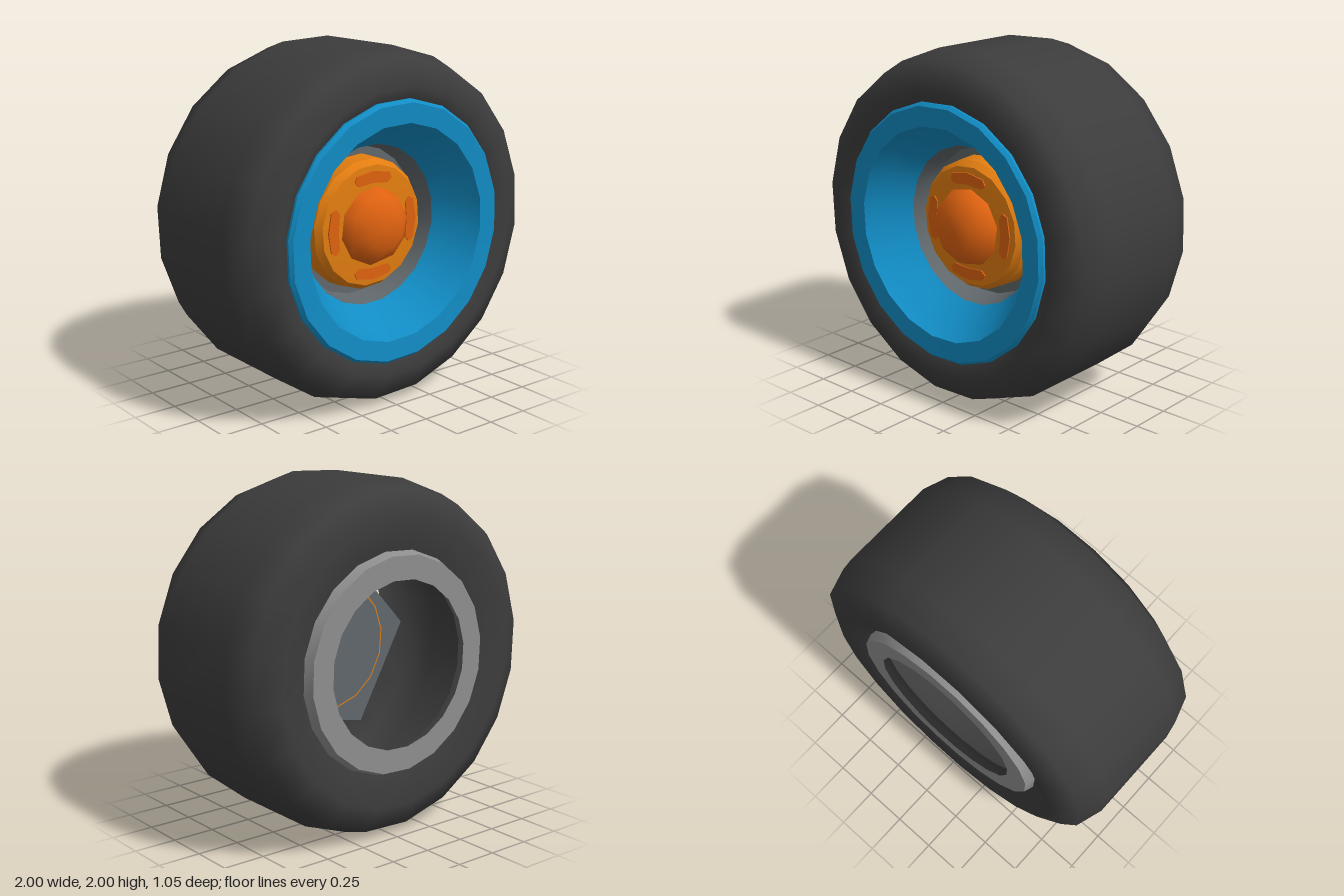
import * as THREE from 'three';
import { toCreasedNormals } from 'three/addons/utils/BufferGeometryUtils.js';

const paint = (name, color, side = THREE.FrontSide) => {
  const m = new THREE.MeshStandardMaterial({ color, side });
  m.name = name;
  return m;
};

export function createModel() {
  const rubber = paint('rubber', 0x3c3c3c, THREE.DoubleSide);
  const blue = paint('rimBlue', 0x118cc4);
  const grey = paint('plateGrey', 0x60676a);
  const steel = paint('ringGrey', 0x8e8e8e);
  const orange = paint('drumOrange', 0xe27d10);
  const darkOrange = paint('hubOrange', 0xdf6210);

  const model = new THREE.Group();
  const wheel = new THREE.Group();
  wheel.name = 'wheel';
  wheel.position.y = 1;
  model.add(wheel);

  const add = (name, geometry, material) => {
    const mesh = new THREE.Mesh(geometry, material);
    mesh.name = name;
    wheel.add(mesh);
    return mesh;
  };

  // Turns a [radius, z] profile about the axle, slightly rotated like the whole wheel
  const turned = (name, profile, sides, material, crease = 0.5) => {
    let g = new THREE.LatheGeometry(profile.map(([r, z]) => new THREE.Vector2(r, z)), sides);
    g.rotateX(Math.PI / 2);
    g.rotateZ(-0.117);
    if (crease) g = toCreasedNormals(g, crease);
    return add(name, g, material);
  };

  // Tyre: hollow, softly shaded shell
  turned('tyre', [
    [0.5, -0.45], [0.64, -0.46], [0.81, -0.525], [0.957, -0.45], [1.007, -0.29],
    [1.007, 0.29], [0.957, 0.45], [0.81, 0.525], [0.71, 0.46],
  ], 20, rubber, 0);

  // Rim: front lip and dished barrel
  turned('rim', [
    [0.74, 0.44], [0.74, 0.495], [0.722, 0.515], [0.61, 0.51], [0.575, 0.42], [0.46, 0.26],
  ], 20, blue);

  // Recess behind the barrel
  turned('recessWall', [[0.46, 0.26], [0.43, 0.12]], 20, grey);

  // Back ring with bevelled edge
  turned('backRing', [[0.475, -0.515], [0.61, -0.515], [0.63, -0.46]], 20, steel);

  // Five-sided mounting plate
  const plate = new THREE.CylinderGeometry(0.55, 0.55, 0.02, 5);
  plate.rotateX(Math.PI / 2);
  plate.rotateZ(THREE.MathUtils.degToRad(-42.9 + 90));
  add('mountingPlate', toCreasedNormals(plate, 0.5), grey).position.z = 0.11;

  // Drum, its edge just showing behind the plate
  turned('drum', [
    [0.377, 0.09], [0.385, 0.09], [0.376, 0.23], [0.347, 0.27], [0.225, 0.28], [0, 0.28],
  ], 16, orange);

  // Hub cap
  turned('hubCap', [[0.225, 0.27], [0.222, 0.295], [0.195, 0.345], [0.12, 0.4], [0, 0.4]], 10, darkOrange, 0.72);

  // Four vents around the drum face
  const half = [[0, 0.313], [0.115, 0.293], [0.13, 0.26], [0.1, 0.236], [0, 0.245]];
  const outline = [...half, ...half.slice(1, 4).reverse().map(([x, y]) => [-x, y])];
  const ventShape = new THREE.Shape(outline.map(([x, y]) => new THREE.Vector2(x, y)));
  const vent = new THREE.ExtrudeGeometry(ventShape, { depth: 0.008, bevelEnabled: false });
  for (let i = 0; i < 4; i++) {
    const mesh = add('vent' + (i + 1), vent, darkOrange);
    mesh.position.z = 0.276;
    mesh.rotation.z = i * Math.PI / 2;
  }

  return model;
}
